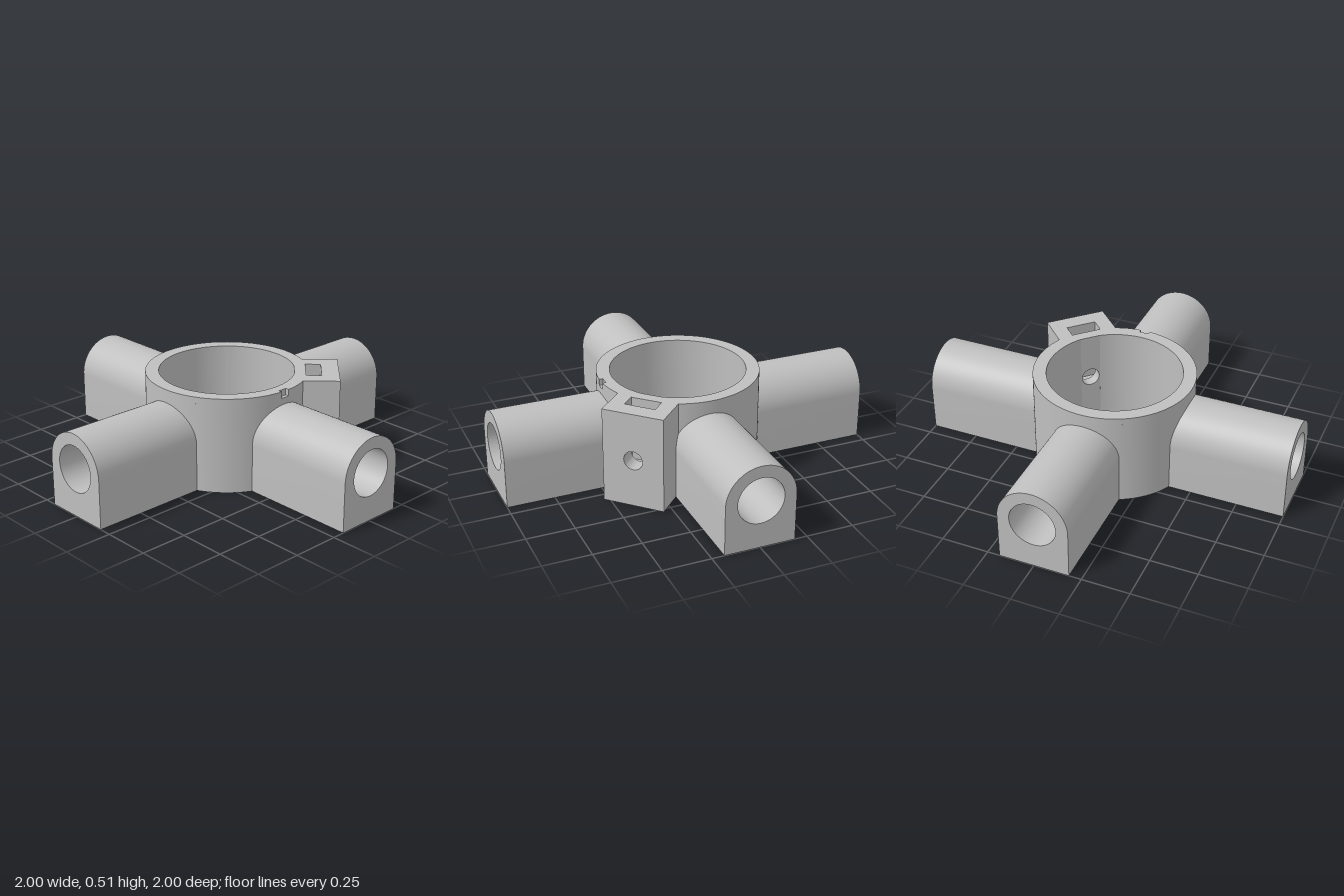
import * as THREE from 'three';
import { toCreasedNormals } from 'three/addons/utils/BufferGeometryUtils.js';

const H = 0.51, R_OUT = 0.425, R_IN = 0.355, AXIS_Y = 0.255;
const PLUG = 0.055, POCKET = 0.0815, LUG = 0.163;

export function createModel() {
  const model = new THREE.Group();
  model.name = 'fourWayHub';
  const grey = new THREE.MeshStandardMaterial({ color: 0xbfbfbf });
  grey.name = 'grey plastic';

  const add = (parent, name, geometry) => {
    const mesh = new THREE.Mesh(geometry, grey);
    mesh.name = name;
    parent.add(mesh);
    return mesh;
  };
  const extrude = (shape, depth, segments) =>
    new THREE.ExtrudeGeometry(shape, { depth, bevelEnabled: false, curveSegments: segments });

  // Extrudes an upright profile outward along +x between two distances
  const radial = (shape, from, to) =>
    toCreasedNormals(extrude(shape, to - from, 24).rotateY(Math.PI / 2).translate(from, 0, 0), 0.5);

  const bore = (shape, r) => {
    shape.holes.push(new THREE.Path().absarc(0, AXIS_Y, r, 0, Math.PI * 2, true));
    return shape;
  };
  const rect = (halfWidth) => new THREE.Shape()
    .moveTo(-halfWidth, 0).lineTo(halfWidth, 0).lineTo(halfWidth, H).lineTo(-halfWidth, H).closePath();

  // Everything on the clamp axis is built along +x, then turned 45 degrees
  const clamp = new THREE.Group();
  clamp.name = 'collarAndLug';
  clamp.rotation.y = Math.PI / 4;
  model.add(clamp);

  // Collar outline, open at the lug; the top layer also has a small key notch
  const collarShape = (notched) => {
    const a = Math.asin(POCKET / R_OUT), b = Math.asin(PLUG / R_IN), end = Math.PI * 2;
    const s = new THREE.Shape();
    s.moveTo(0.41, PLUG);
    s.lineTo(0.41, POCKET);
    if (notched) {
      const mid = Math.PI * 7 / 4, d = 0.025 / R_OUT;
      s.absarc(0, 0, R_OUT, a, mid - d, false);
      s.absarc(0, 0, 0.405, mid - d, mid + d, false);
      s.absarc(0, 0, R_OUT, mid + d, end - a, false);
    } else {
      s.absarc(0, 0, R_OUT, a, end - a, false);
    }
    s.lineTo(0.41, -POCKET);
    s.lineTo(0.41, -PLUG);
    s.absarc(0, 0, R_IN, end - b, b, true);
    s.closePath();
    return s;
  };
  const notchY = 0.475;
  const ring = (y0, y1, notched) => toCreasedNormals(
    extrude(collarShape(notched), y1 - y0, 60).rotateX(-Math.PI / 2).translate(0, y0, 0), 0.5);
  add(clamp, 'collar', ring(0, notchY, false));
  add(clamp, 'collarNotchedRim', ring(notchY, H, true));

  // Lug with a screw hole and a nut pocket open at the top
  add(clamp, 'lugInnerWall', radial(bore(rect(PLUG), 0.05), 0.351, 0.41));
  add(clamp, 'lugOuterWall', radial(bore(rect(LUG), 0.05), 0.491, 0.583));
  for (const side of [-1, 1]) {
    add(clamp, 'lugSideWall', new THREE.BoxGeometry(0.131, H, LUG - POCKET))
      .position.set(0.4255, H / 2, side * (LUG + POCKET) / 2);
  }
  const floorY = 0.165;
  add(clamp, 'nutPocketFloor', new THREE.BoxGeometry(0.081, floorY, POCKET * 2))
    .position.set(0.4505, floorY / 2, 0);

  // Four arched arms, each with a round socket ending at the collar
  const arch = new THREE.Shape();
  arch.moveTo(-0.185, 0);
  arch.lineTo(0.185, 0);
  arch.absarc(0, AXIS_Y, 0.185, 0, Math.PI, false);
  arch.closePath();
  const armGeometry = radial(bore(arch, 0.122), 0.36, 1);
  ['rightArm', 'backArm', 'leftArm', 'frontArm'].forEach((name, i) => {
    const names = { rightArm: 'leftArm', leftArm: 'rightArm' };
    add(model, names[name] || name, armGeometry).rotation.y = i * Math.PI / 2;
  });

  return model;
}
